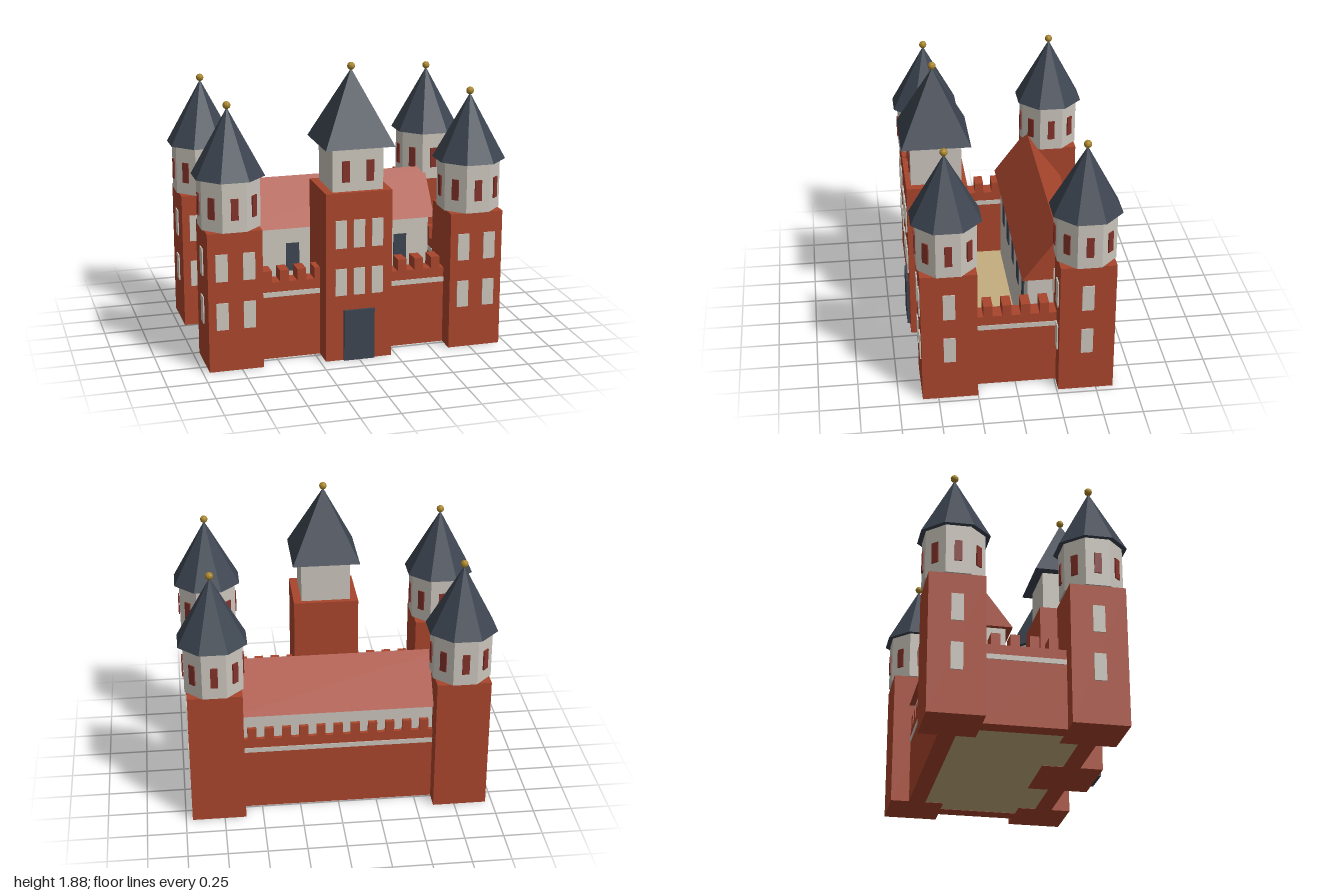
import * as THREE from 'three';

const mat = (name, color) => {
  const m = new THREE.MeshStandardMaterial({ color });
  m.name = name;
  return m;
};

export function createModel() {
  const brick = mat('brick', 0xa8452c);
  const plaster = mat('plaster', 0xc9c4bb);
  const slate = mat('slate', 0x3c4450);
  const shutter = mat('shutter', 0x82322a);
  const sand = mat('sand', 0xc4ae7f);
  const gold = mat('gold', 0xa8842a);
  for (const m of [slate, gold]) m.flatShading = true;

  const group = (name, parent) => {
    const g = new THREE.Group();
    g.name = name;
    if (parent) parent.add(g);
    return g;
  };
  const add = (parent, name, geometry, material, x = 0, y = 0, z = 0) => {
    const mesh = new THREE.Mesh(geometry, material);
    mesh.name = name;
    mesh.position.set(x, y, z);
    parent.add(mesh);
    return mesh;
  };
  // Box given by its centre in x and z and its bottom and top heights
  const box = (parent, name, material, x, z, w, d, y0, y1) =>
    add(parent, name, new THREE.BoxGeometry(w, y1 - y0, d), material, x, (y0 + y1) / 2, z);

  const castle = group('castle');
  const TX = 0.785, FRONT = 0.425, BACK = -0.435;
  const PLATE = 0.009;

  // Pointed roof with flat sides facing the axes, topped by a golden ball
  const spire = (parent, sides, halfWidth, y0, y1) => {
    const geo = new THREE.ConeGeometry(halfWidth / Math.cos(Math.PI / sides), y1 - y0, sides);
    geo.rotateY(Math.PI / sides);
    add(parent, 'spireRoof', geo, slate, 0, (y0 + y1) / 2, 0);
    add(parent, 'finial', new THREE.IcosahedronGeometry(0.025, 1), gold, 0, y1 + 0.015, 0);
  };

  // Corner towers: square base, octagonal drum with shutters, spire
  const cornerTower = (name, side, z) => {
    const t = group(name, castle);
    t.position.set(side * TX, 0, z);
    box(t, 'towerBase', brick, 0, 0, 0.346, 0.35, 0, 0.9);
    for (const y of [0.275, 0.59]) {
      for (const x of [-0.086, 0.086])
        box(t, 'frontWindow', plaster, x, 0.178, 0.076, PLATE, y, y + 0.175);
      box(t, 'sideWindow', plaster, side * 0.176, 0, PLATE, 0.075, y, y + 0.175);
    }
    const drum = new THREE.CylinderGeometry(0.2, 0.2, 0.32, 8).toNonIndexed();
    drum.rotateY(Math.PI / 8);
    drum.computeVertexNormals();
    add(t, 'drum', drum, plaster, 0, 1.06, 0);
    for (let i = 0; i < 8; i++) {
      const a = (i * Math.PI) / 4;
      const s = box(t, 'shutter', shutter, 0.19 * Math.sin(a), 0.19 * Math.cos(a), 0.046, PLATE, 0.98, 1.115);
      s.rotation.y = a;
    }
    spire(t, 8, 0.215, 1.22, 1.64);
  };
  cornerTower('frontLeftTower', 1, FRONT);
  cornerTower('frontRightTower', -1, FRONT);
  cornerTower('backLeftTower', 1, BACK);
  cornerTower('backRightTower', -1, BACK);

  // Gate tower
  const gate = group('gateTower', castle);
  gate.position.z = FRONT;
  box(gate, 'gateBase', brick, 0, 0, 0.43, 0.39, 0, 1.1);
  box(gate, 'gateUpperStorey', plaster, 0, 0, 0.326, 0.326, 1.1, 1.38);
  box(gate, 'gateDoor', slate, 0, 0.202, 0.2, 0.018, 0, 0.335);
  for (const [y0, y1] of [[0.435, 0.61], [0.745, 0.925]])
    for (const x of [-0.118, 0, 0.118])
      box(gate, 'gateWindow', plaster, x, 0.199, 0.072, PLATE, y0, y1);
  for (const x of [-0.078, 0.078])
    box(gate, 'gateShutter', shutter, x, 0.166, 0.048, PLATE, 1.16, 1.295);
  spire(gate, 4, 0.222, 1.38, 1.84);

  // Curtain walls with a pale band and merlons, built along x and then turned
  const curtainWall = (name, x, z, length, turn, count, step) => {
    const w = group(name, castle);
    w.position.set(x, 0, z);
    w.rotation.y = turn;
    box(w, 'wall', brick, 0, 0, length, 0.11, 0, 0.51);
    box(w, 'band', plaster, 0, 0, length, 0.12, 0.414, 0.446);
    for (let i = 0; i < count; i++)
      box(w, 'merlon', brick, (i - (count - 1) / 2) * step, 0, 0.058, 0.11, 0.51, 0.585);
  };
  curtainWall('frontWall', 0, FRONT - 0.005, 1.3, 0, 11, 0.111);
  curtainWall('backWall', 0, BACK, 1.3, 0, 11, 0.111);
  curtainWall('leftWall', TX, -0.005, 0.6, Math.PI / 2, 4, 0.118);
  curtainWall('rightWall', -TX, -0.005, 0.6, Math.PI / 2, 4, 0.118);

  // Great hall along the back, with a gabled roof
  const hall = group('hall', castle);
  hall.position.z = -0.28;
  box(hall, 'hallBody', plaster, 0, 0, 1.4, 0.37, 0.01, 0.685);
  for (let i = -2; i <= 2; i++)
    box(hall, 'hallWindow', slate, i * 0.25, 0.187, 0.09, PLATE, 0.38, 0.572);
  const gable = new THREE.Shape([
    new THREE.Vector2(-0.224, 0.685),
    new THREE.Vector2(0.224, 0.685),
    new THREE.Vector2(0, 0.985),
  ]);
  const roof = new THREE.ExtrudeGeometry(gable, { depth: 1.46, bevelEnabled: false });
  roof.translate(0, 0, -0.73);
  roof.rotateY(Math.PI / 2);
  add(hall, 'hallRoof', roof, brick);

  // Courtyard floor
  box(castle, 'courtyard', sand, 0, -0.005, 1.47, 0.76, 0.002, 0.02);

  return castle;
}
